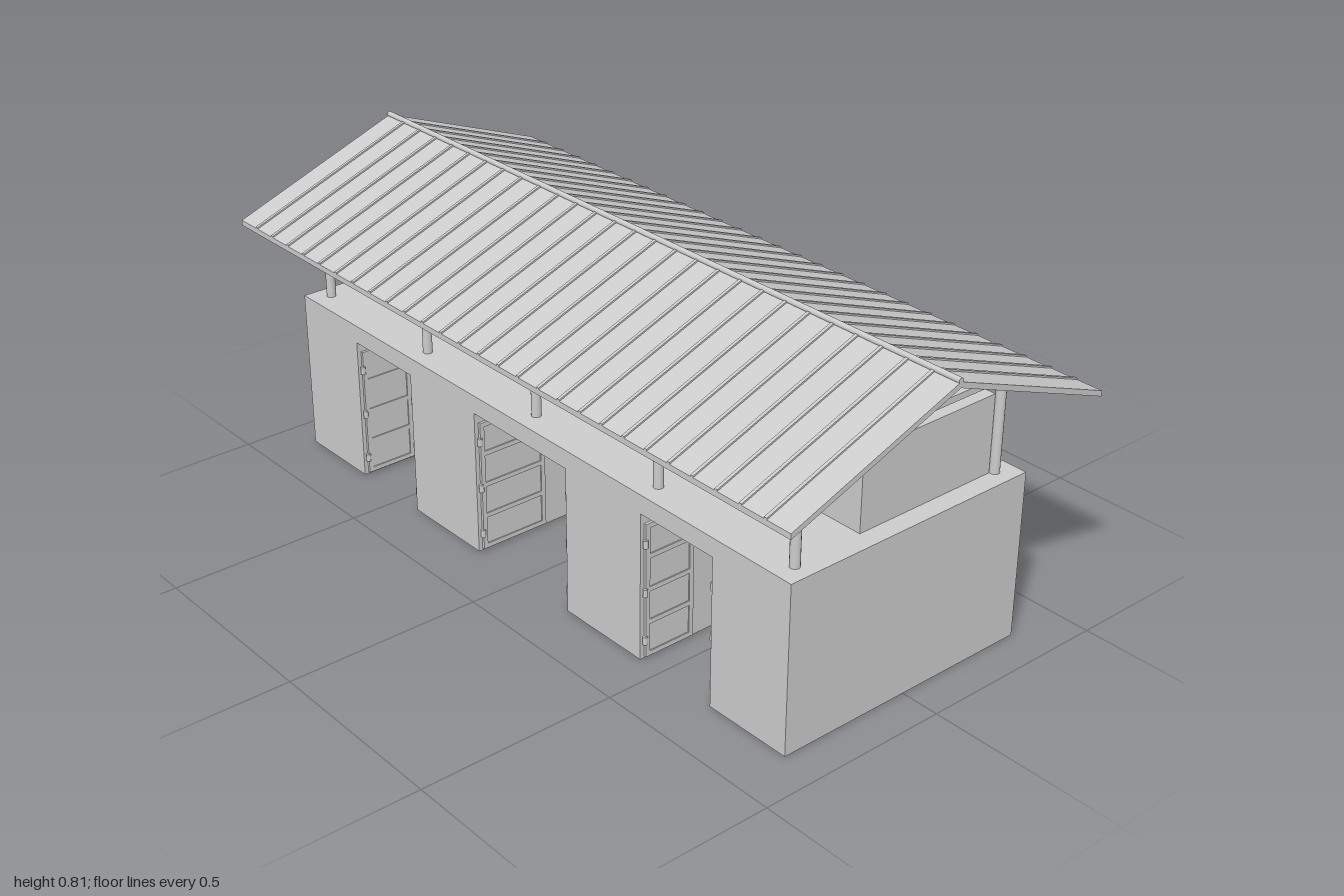
import * as THREE from 'three';

const grey = new THREE.MeshStandardMaterial({ color: 0xcccccc });
grey.name = 'pale grey';

export function createModel() {
  const model = new THREE.Group();
  model.name = 'gatehouse';

  const add = (name, geo, parent = model) => {
    const mesh = new THREE.Mesh(geo, grey);
    mesh.name = name;
    parent.add(mesh);
    return mesh;
  };
  // Box given by its extents
  const block = (name, x0, x1, y0, y1, z0, z1, parent) => {
    const geo = new THREE.BoxGeometry(x1 - x0, y1 - y0, z1 - z0);
    geo.translate((x0 + x1) / 2, (y0 + y1) / 2, (z0 + z1) / 2);
    return add(name, geo, parent);
  };
  // Gable-shaped strip of constant thickness, running across z
  const SLOPE = 0.376;
  const gable = (name, x, width, halfZ, top, thick) => {
    const drop = halfZ * SLOPE;
    const shape = new THREE.Shape([
      [-halfZ, top - drop], [-halfZ, top - drop - thick], [0, top - thick],
      [halfZ, top - drop - thick], [halfZ, top - drop], [0, top],
    ].map(([z, y]) => new THREE.Vector2(z, y)));
    const geo = new THREE.ExtrudeGeometry(shape, { depth: width, bevelEnabled: false });
    geo.translate(0, 0, -width / 2).rotateY(-Math.PI / 2).translate(x, 0, 0);
    return add(name, geo);
  };

  // Base block with three passages through it
  const base = new THREE.Shape();
  const outline = [
    [-0.9, 0], [-0.665, 0], [-0.665, 0.378], [-0.432, 0.378], [-0.432, 0],
    [-0.172, 0], [-0.172, 0.378], [0.172, 0.378], [0.172, 0],
    [0.432, 0], [0.432, 0.378], [0.665, 0.378], [0.665, 0], [0.9, 0], [0.9, 0.425], [-0.9, 0.425],
  ];
  base.setFromPoints(outline.map(([x, y]) => new THREE.Vector2(x, y)));
  const baseGeo = new THREE.ExtrudeGeometry(base, { depth: 0.71, bevelEnabled: false });
  add('base', baseGeo.translate(0, 0, -0.355));

  // Open gate leaves folded back against the passage walls
  const gateLeaf = (wallX, dir, width) => {
    const gate = new THREE.Group();
    gate.name = 'gateLeaf';
    model.add(gate);
    const part = (name, a, b, y0, y1, z0, z1) => {
      const xs = [wallX + dir * a, wallX + dir * b].sort((p, q) => p - q);
      block(name, xs[0], xs[1], y0, y1, z0, z1, gate);
    };
    const front = 0.345, back = front - width;
    part('gatePanel', 0.001, 0.005, 0.006, 0.35, back, front);
    part('gateStile', 0.001, 0.008, 0.006, 0.35, front - 0.012, front);
    part('gateStile', 0.001, 0.008, 0.006, 0.35, back, back + 0.012);
    for (const y of [0.006, 0.09, 0.175, 0.26, 0.338])
      part('gateRail', 0.001, 0.008, y, y + 0.012, back, front);
    for (const y of [0.05, 0.175, 0.3]) {
      const hinge = add('gateHinge', new THREE.CylinderGeometry(0.006, 0.006, 0.02, 10), gate);
      hinge.position.set(wallX + dir * 0.006, y, front);
    }
  };
  for (const [x0, x1, width] of [[-0.665, -0.432, 0.14], [-0.172, 0.172, 0.19], [0.432, 0.665, 0.14]]) {
    gateLeaf(x0, 1, width);
    gateLeaf(x1, -1, width);
  }

  // Two rooms on the deck, each with a front wall and a door
  for (const s of [-1, 1]) {
    const cx = s * 0.642;
    block('room', cx - 0.208, cx + 0.208, 0.425, 0.62, -0.29, 0.102);
    block('roomFrontWall', cx - 0.208, cx + 0.208, 0.425, 0.62, 0.102, 0.11);
    block('roomDoor', cx - 0.048, cx + 0.048, 0.425, 0.588, 0.11, 0.113);
  }

  // Posts, tie beams and rafters
  for (const x of [-0.855, -0.43, 0, 0.43, 0.855]) {
    for (const z of [-0.302, 0.302]) {
      const post = add('post', new THREE.CylinderGeometry(0.012, 0.012, 0.247, 16));
      post.position.set(x, 0.5475, z);
    }
    block('tieBeam', x - 0.009, x + 0.009, 0.654, 0.67, -0.3, 0.3);
    gable('rafter', x, 0.018, 0.305, 0.789, 0.014);
  }
  for (const z of [-0.302, 0.302])
    block('wallPlate', -0.86, 0.86, 0.654, 0.67, z - 0.009, z + 0.009);

  // Railing along the back of the deck
  block('handrail', -0.39, 0.39, 0.5, 0.511, -0.308, -0.297);
  for (const x of [-0.385, 0.385])
    block('railPost', x - 0.006, x + 0.006, 0.425, 0.5, -0.308, -0.297);

  // Roof sheet with standing seams and ridge cap
  gable('roof', 0, 2, 0.46, 0.803, 0.014);
  for (let i = 1; i < 28; i++) gable('roofSeam', -1 + i / 14, 0.008, 0.46, 0.807, 0.004);
  const ridge = add('ridgeCap', new THREE.CylinderGeometry(0.007, 0.007, 2, 12));
  ridge.rotation.z = Math.PI / 2;
  ridge.position.y = 0.805;

  return model;
}
